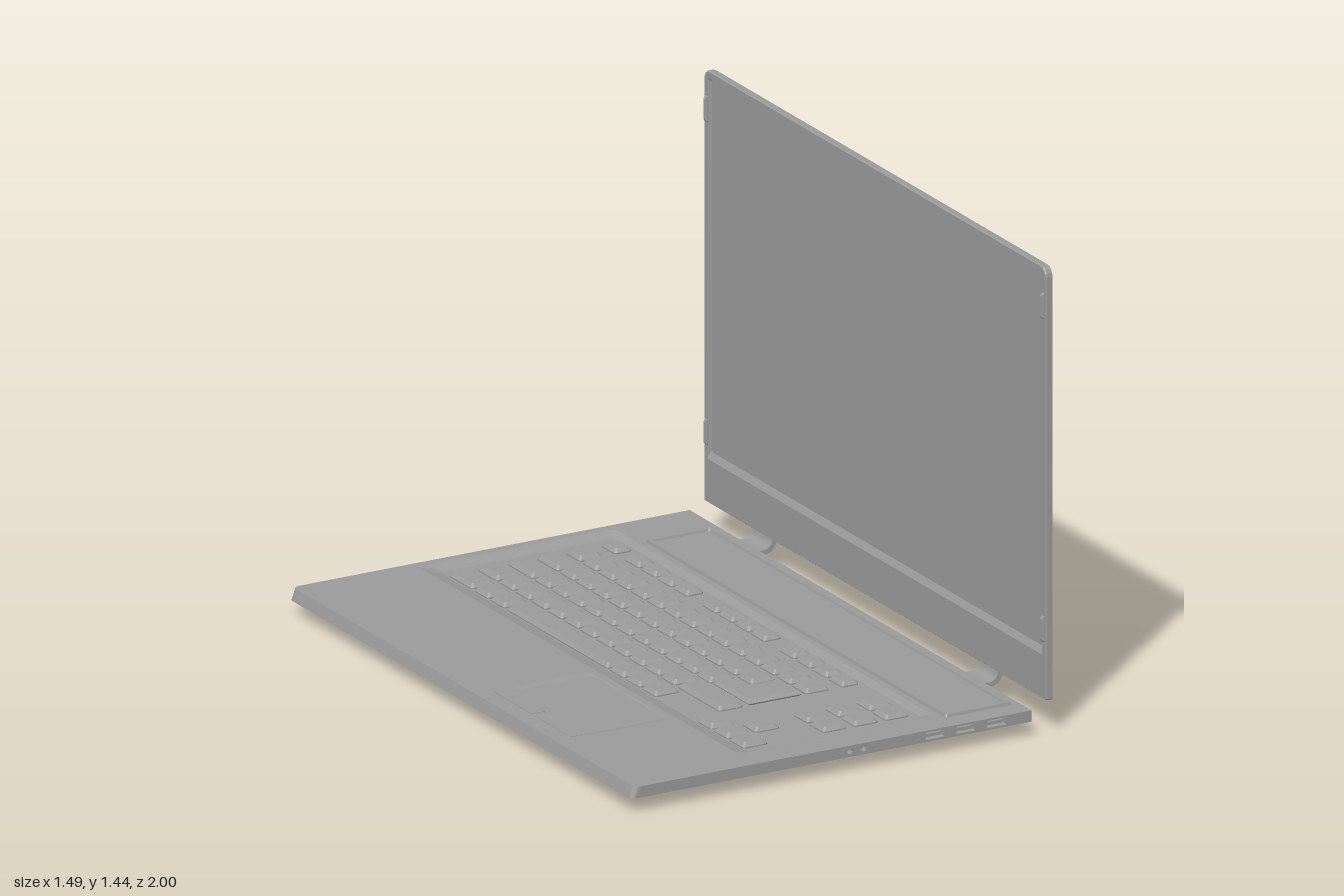
import * as THREE from 'three';

const grey = new THREE.MeshStandardMaterial({ color: 0x9a9a9a, flatShading: true });

// Rounded rectangle in the xz plane at height y, anticlockwise from above;
// r rounds the corners at x0, r1 those at x1
function ring(x0, x1, z0, z1, r, y, r1 = r, seg = 4) {
  const pts = [];
  const corners = [[x1 - r1, z0 + r1, r1], [x0 + r, z0 + r, r], [x0 + r, z1 - r, r], [x1 - r1, z1 - r1, r1]];
  corners.forEach(([cx, cz, rad], q) => {
    for (let i = 0; i <= seg; i++) {
      const a = (q + i / seg) * Math.PI / 2;
      pts.push(new THREE.Vector3(cx + rad * Math.cos(a), y, cz - rad * Math.sin(a)));
    }
  });
  return pts;
}

// Flat-shaded geometry from a list of polygons
function polygons(list) {
  const pos = [];
  for (const p of list)
    for (let i = 1; i < p.length - 1; i++)
      for (const v of [p[0], p[i], p[i + 1]]) pos.push(v.x, v.y, v.z);
  const g = new THREE.BufferGeometry();
  g.setAttribute('position', new THREE.Float32BufferAttribute(pos, 3));
  g.computeVertexNormals();
  return g;
}

// Skin over rings, leaving out the listed strips; the start cap faces down, the end cap up
function loft(rings, capStart, capEnd, skip = []) {
  const faces = [];
  for (let k = 0; k < rings.length - 1; k++) {
    const a = rings[k], b = rings[k + 1], n = a.length;
    for (let i = 0; i < n; i++)
      if (!skip.includes(i)) faces.push([a[i], a[(i + 1) % n], b[(i + 1) % n], b[i]]);
  }
  if (capStart) faces.push([...rings[0]].reverse());
  if (capEnd) faces.push(rings[rings.length - 1]);
  return polygons(faces);
}

function add(parent, name, geometry) {
  const m = new THREE.Mesh(geometry, grey);
  m.name = name;
  parent.add(m);
  return m;
}

function box(parent, name, x0, x1, y0, y1, z0, z1) {
  add(parent, name, new THREE.BoxGeometry(x1 - x0, y1 - y0, z1 - z0))
    .position.set((x0 + x1) / 2, (y0 + y1) / 2, (z0 + z1) / 2);
}

const flat = (r) => r.map((p) => new THREE.Vector2(p.x, -p.z));

// Side wall of the base with sunken ports; jacks only on the +z side
function buildSide(side) {
  const group = new THREE.Group();
  group.name = 'sideWall';
  const corners = [[-0.728, 0.045], [0.597, 0.045], [0.597, 0.08], [-0.715, 0.08]];
  const wall = new THREE.Shape(corners.map(([x, y]) => new THREE.Vector2(x * side, y)));
  const ports = [0.274, 0.378, 0.482].map((x) => ['portSlot', x, 0.032, 0.011, 0.003]);
  if (side > 0) for (const x of [-0.012, 0.036]) ports.push(['audioJack', x, 0.009, 0.009, 0.009]);
  for (const [name, x, w, h, r] of ports) {
    const outline = ring(-w, w, -h, h, r, 0);
    wall.holes.push(new THREE.Path(flat(outline).map((p) => p.add(new THREE.Vector2(x * side, 0.063)))));
    const pocket = loft([outline, ring(-w, w, -h, h, r, -0.02)], false, true);
    add(group, name, pocket.rotateX(Math.PI / 2)).position.set(x * side, 0.063, 1);
    if (name === 'portSlot')
      box(group, 'portTongue', x * side - 0.025, x * side + 0.025, 0.063, 0.069, 0.98, 0.997);
  }
  add(group, 'wallPanel', new THREE.ShapeGeometry(wall)).position.z = 1;
  if (side < 0) group.rotation.y = Math.PI;
  return group;
}

function buildBase() {
  const base = new THREE.Group();
  base.name = 'base';
  const top = 0.08;
  const deckRing = ring(-0.735, 0.6, -1, 1, 0.02, top, 0.003);
  const edgeRing = ring(-0.748, 0.6, -1, 1, 0.02, 0.045, 0.003);
  const basinRing = ring(-0.33, 0.33, -0.97, 0.9, 0.03, top);
  const padRing = ring(-0.64, -0.35, 0.07, 0.54, 0.025, top);

  // Tapered underside, then the upright edge whose two long sides carry the ports
  add(base, 'lowerShell', loft([ring(-0.67, 0.52, -0.87, 0.87, 0.02, 0.01, 0.003), edgeRing], true, false));
  add(base, 'edge', loft([edgeRing, deckRing], false, false, [4, 14]));
  base.add(buildSide(1), buildSide(-1));

  // Top plate with openings for the keyboard and touchpad
  const deck = new THREE.Shape(flat(deckRing));
  deck.holes.push(new THREE.Path(flat(basinRing)), new THREE.Path(flat(padRing)));
  add(base, 'deck', new THREE.ShapeGeometry(deck).rotateX(-Math.PI / 2).translate(0, top, 0));
  add(base, 'keyboardBasin', loft([basinRing, ring(-0.28, 0.31, -0.93, 0.865, 0.02, 0.066)], false, true));
  add(base, 'touchpad', loft([padRing, ring(-0.63, -0.355, 0.09, 0.52, 0.02, 0.076)], false, true));
  for (const z of [0.08, 0.31]) box(base, 'touchpadButton', -0.68, -0.635, 0.074, 0.081, z, z + 0.22);

  // Raised bar with a thin rim behind the keyboard
  add(base, 'speakerBar', loft([
    ring(0.35, 0.573, -0.825, 0.93, 0.008, top), ring(0.353, 0.57, -0.822, 0.927, 0.008, 0.089),
    ring(0.364, 0.559, -0.811, 0.916, 0.006, 0.089), ring(0.367, 0.556, -0.808, 0.913, 0.006, 0.082),
  ], false, true));

  // Feet with chamfered ends: long ones at the corners, crosswise ones in the middle
  const foot = (name, x, z, w, d) => add(base, name, loft([
    ring(x - w + 0.008, x + w - 0.008, z - d + 0.008, z + d - 0.008, 0.003, 0),
    ring(x - w, x + w, z - d, z + d, 0.006, 0.012), ring(x - w, x + w, z - d, z + d, 0.006, 0.02),
  ], true, false));
  for (const x of [-0.61, 0.475]) {
    for (const z of [-0.86, 0.86]) foot('foot', x, z, 0.042, 0.014);
    foot('middleFoot', x, 0, 0.014, 0.042);
  }
  return base;
}

function buildKeyboard() {
  const keys = new THREE.Group();
  keys.name = 'keyboard';
  keys.position.set(0.004, 0, 0.004);
  const key = (x0, x1, z0, z1) => add(keys, 'key', loft([
    ring(x0, x1, z0, z1, 0.006, 0.064, 0.006, 1), ring(x0, x1, z0, z1, 0.006, 0.07, 0.006, 1),
    ring(x0 + 0.011, x1 - 0.011, z0 + 0.011, z1 - 0.011, 0.005, 0.081, 0.005, 1),
  ], false, true));
  const pitch = 0.0945, size = 0.084;
  const run = (x0, x1, z, count) => {
    for (let i = 0; i < count; i++) key(x0, x1, z + i * pitch, z + i * pitch + size);
  };
  const [A, B, C, D, E, F] = [[-0.28, -0.198], [-0.182, -0.1], [-0.082, 0], [0.014, 0.096], [0.112, 0.192], [0.233, 0.291]];

  // Bottom row with the space bar
  key(...A, -0.89, -0.757);
  run(...A, -0.745, 2);
  key(...A, -0.555, 0.035);
  run(...A, 0.045, 3);
  // Letter rows: wide first key, then a run
  key(...B, -0.89, -0.78);
  run(...B, -0.77, 11);
  key(...B, 0.275, 0.52);
  key(...C, -0.89, -0.747);
  run(...C, -0.735, 11);
  key(...D, -0.89, -0.768);
  run(...D, -0.757, 12);
  run(...E, -0.89, 15);
  // Narrow back row in groups
  key(...F, -0.89, -0.81);
  for (const z of [-0.757, -0.305, 0.15]) run(...F, z, 4);
  // Arrow keys and number block
  run(...A, 0.56, 3);
  key(...B, 0.653, 0.733);
  for (const x of [-0.01, 0.095, 0.2]) run(x, x + 0.08, 0.653, 2);

  // L-shaped enter key
  const inset = 0.01;
  const s = new THREE.Shape([[-0.082, -0.52], [0.096, -0.52], [0.096, -0.385], [0, -0.385], [0, -0.31], [-0.082, -0.31]]
    .map(([x, y], i) => new THREE.Vector2(
      x + (x === -0.082 ? inset : -inset), y + (i < 2 ? inset : -inset))));
  const g = new THREE.ExtrudeGeometry(s, {
    depth: 0.002, bevelThickness: 0.008, bevelSize: inset, bevelSegments: 1,
  });
  add(keys, 'enterKey', g.rotateX(-Math.PI / 2).translate(0, 0.071, 0));
  return keys;
}

function buildLid() {
  const lid = new THREE.Group();
  lid.name = 'lid';
  // Plate and sunken screen, made lying down and then stood up
  add(lid, 'screenPanel', loft([
    ring(0.101, 1.44, -1, 1, 0.004, -0.67, 0.03), ring(0.101, 1.44, -1, 1, 0.004, -0.652, 0.03),
    ring(0.104, 1.437, -0.997, 0.997, 0.004, -0.648, 0.028),
    ring(0.237, 1.418, -0.978, 0.978, 0.008, -0.648), ring(0.257, 1.412, -0.972, 0.972, 0.006, -0.66),
  ], true, true).rotateZ(Math.PI / 2));

  // Faceted back with a stepped crease
  const V = (x, y, z) => new THREE.Vector3(x, y, z);
  const pair = (x, y, z) => [V(x, y, z), V(x, y, -z)];
  const [a, b] = pair(0.67, 1.432, 0.992), [d, c] = pair(0.67, 0.103, 0.998);
  const [g, h] = pair(0.745, 0.95, 0.12), [i, j] = pair(0.745, 0.73, 0.12);
  const [k, l] = pair(0.712, 0.95, 0.12);
  const e = a.clone().lerp(g, 0.21), f = b.clone().lerp(h, 0.21);
  add(lid, 'facetedBack', polygons([
    [a, d, i, g], [b, h, j, c], [d, c, j, i], [g, i, j, h],
    [a, e, k], [b, l, f], [a, k, l, b],
    [e, g, k], [k, g, h, l], [f, l, h],
  ]));

  // Bumpers with sloped ends on the side bezels
  for (const z of [-0.984, 0.984])
    for (const y of [0.32, 1.32])
      add(lid, 'bumper', loft([
        ring(y - 0.04, y + 0.04, z - 0.007, z + 0.007, 0.003, -0.652),
        ring(y - 0.04, y + 0.04, z - 0.007, z + 0.007, 0.003, -0.645),
        ring(y - 0.032, y + 0.032, z - 0.004, z + 0.004, 0.002, -0.639),
      ], false, true).rotateZ(Math.PI / 2));
  return lid;
}

function buildHinges() {
  const hinges = new THREE.Group();
  hinges.name = 'hinges';
  const s = new THREE.Shape();
  s.moveTo(0.58, 0.06).lineTo(0.62, 0.06).quadraticCurveTo(0.668, 0.062, 0.668, 0.12);
  s.lineTo(0.652, 0.12).quadraticCurveTo(0.652, 0.076, 0.62, 0.075).lineTo(0.58, 0.075);
  for (const z of [-0.66, 0.66])
    add(hinges, 'hinge', new THREE.ExtrudeGeometry(s, { depth: 0.115, bevelEnabled: false, curveSegments: 8 }))
      .position.z = z - 0.0575;
  return hinges;
}

export function createModel() {
  const laptop = new THREE.Group();
  laptop.name = 'laptop';
  laptop.add(buildBase(), buildKeyboard(), buildLid(), buildHinges());
  return laptop;
}
